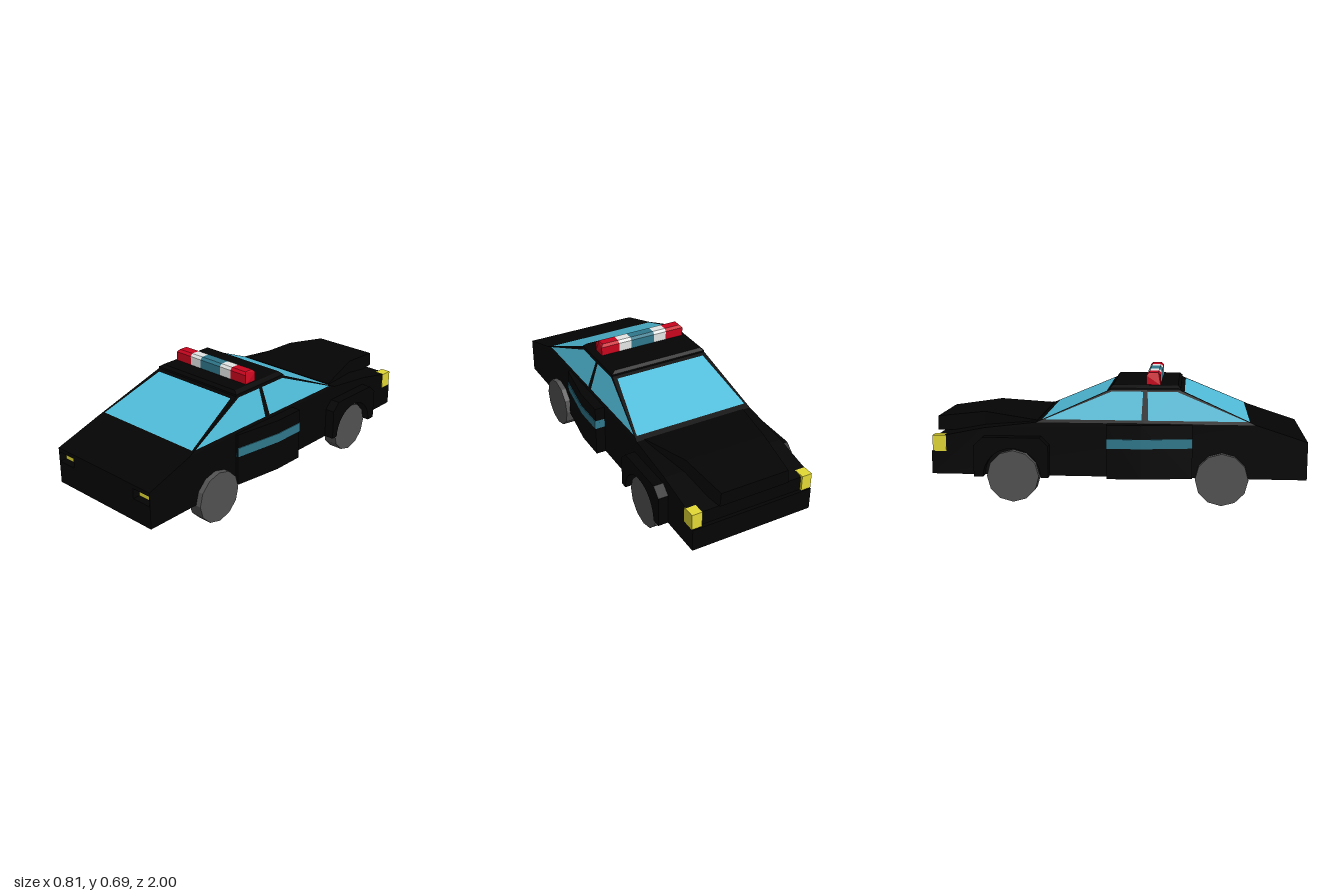
import * as THREE from 'three';

const mat = (name, color, side = THREE.FrontSide) => {
  const m = new THREE.MeshStandardMaterial({ color, side });
  m.name = name;
  return m;
};

export function createModel() {
  const car = new THREE.Group();
  car.name = 'patrolCar';
  const black = mat('black paint', 0x040404, THREE.DoubleSide);
  const glass = mat('window glass', 0x50bcd9, THREE.DoubleSide);
  const blue = mat('dark blue', 0x2f788c);
  const red = mat('red lamp', 0xc9051e);
  const white = mat('white lamp', 0xe4e6e5);
  const yellow = mat('yellow lamp', 0xe4da36);
  const rubber = mat('grey wheel', 0x535353);

  const add = (name, geometry, material, parent = car) => {
    const m = new THREE.Mesh(geometry, material);
    m.name = name;
    parent.add(m);
    return m;
  };
  // Flat-shaded geometry from a list of four-cornered faces
  const quads = (list) => {
    const p = [];
    for (const [a, b, c, d] of list) p.push(...a, ...b, ...c, ...a, ...c, ...d);
    const g = new THREE.BufferGeometry();
    g.setAttribute('position', new THREE.Float32BufferAttribute(p, 3));
    g.computeVertexNormals();
    return g;
  };
  const shape = (pts) => new THREE.Shape(pts.map(([a, b]) => new THREE.Vector2(a, b)));
  const box = (name, x0, x1, y0, y1, z0, z1, material) => {
    const g = new THREE.BoxGeometry(x1 - x0, y1 - y0, z1 - z0);
    g.translate((x0 + x1) / 2, (y0 + y1) / 2, (z0 + z1) / 2);
    return add(name, g, material);
  };
  // Side outline given as (-z, y), extruded from x0 to x1
  const sideExtrude = (s, x0, x1) => {
    const g = new THREE.ExtrudeGeometry(s, { depth: x1 - x0, bevelEnabled: false, curveSegments: 8 });
    return g.rotateY(Math.PI / 2).translate(x0, 0, 0);
  };
  // Plan outline given as (x, z), extruded from y0 to y1
  const planExtrude = (pts, y0, y1) => {
    const g = new THREE.ExtrudeGeometry(shape(pts), { depth: y1 - y0, bevelEnabled: false });
    return g.rotateX(Math.PI / 2).translate(0, y1, 0);
  };

  // Lower body: hollow shell, open below and under the cabin
  const W = 0.345, base = 0.141, noseTop = 0.342;
  const profile = [[1, base], [1, noseTop], [0.73, 0.43], [-0.43, 0.43], [-0.72, 0.395],
    [-0.98, 0.342], [-0.98, 0.265], [-1, 0.265], [-1, base]];
  const shell = [];
  for (let i = 1; i < profile.length - 1; i++) {
    if (i === 2) continue;
    const [z0, y0] = profile[i], [z1, y1] = profile[i + 1];
    shell.push([[-W, y0, z0], [W, y0, z0], [W, y1, z1], [-W, y1, z1]]);
  }
  add('bodyShell', quads(shell), black);
  for (const x of [-W, W]) {
    const g = new THREE.ShapeGeometry(shape(profile.map(([z, y]) => [-z, y])));
    add('bodySide', g.rotateY(Math.PI / 2).translate(x, 0, 0), black);
  }

  // Nose panel with a sunken pocket for each headlight
  const nose = shape([[-W, base], [W, base], [W, noseTop], [-W, noseTop]]);
  const pocketWalls = [], lampZ = 0.96;
  for (const s of [1, -1]) {
    const rim = [[0.226, 0.265], [0.341, 0.265], [0.341, 0.32], [0.226, 0.32]].map(([x, y]) => [s * x, y]);
    nose.holes.push(new THREE.Path(rim.map(([x, y]) => new THREE.Vector2(x, y))));
    rim.forEach(([x, y], i) => {
      const [u, v] = rim[(i + 1) % 4];
      pocketWalls.push([[x, y, 1], [u, v, 1], [u, v, lampZ], [x, y, lampZ]]);
    });
  }
  add('nosePanel', new THREE.ShapeGeometry(nose).translate(0, 0, 1), black);
  add('headlightPockets', quads(pocketWalls), black);

  // Boot lid: cross-sections [z, half width, bottom, top]
  const lidRings = [[-0.43, 0.3, 0.4, 0.434], [-0.73, 0.23, 0.36, 0.465], [-1, 0.193, 0.354, 0.43]]
    .map(([z, w, b, t]) => [[w + 0.005, b, z], [w, t, z], [-w, t, z], [-w - 0.005, b, z]]);
  const lid = [lidRings[0].slice().reverse(), lidRings[2]];
  for (let i = 0; i < 2; i++) {
    for (let j = 0; j < 4; j++) {
      const k = (j + 1) % 4;
      lid.push([lidRings[i][j], lidRings[i + 1][j], lidRings[i + 1][k], lidRings[i][k]]);
    }
  }
  add('bootLid', quads(lid), black);

  // Cabin: each face is a black frame around a pane
  const frames = [], panes = [];
  const framed = (outer, inner) => {
    for (let i = 0; i < 4; i++) {
      const k = (i + 1) % 4;
      frames.push([outer[i], outer[k], inner[k], inner[i]]);
    }
    panes.push(inner);
  };
  const yB = 0.43, yT = 0.6, xT = 0.287, zF = [0.73, 0.335], zR = [-0.43, -0.04];
  // Windscreen and rear window
  for (const [[zb, zt], d] of [[zF, 1], [zR, -1]]) {
    const at = (x, t) => [x, yB + (yT - yB) * t, zb + (zt - zb) * t];
    framed(
      [at(-W * d, 0), at(W * d, 0), at(xT * d, 1), at(-xT * d, 1)],
      [at(-0.328 * d, 0.08), at(0.328 * d, 0.08), at(0.266 * d, 0.95), at(-0.266 * d, 0.95)]);
  }
  // Side windows, two per side, split by the door pillar
  for (const s of [1, -1]) {
    const at = (z, y) => [s * (W + (xT - W) * (y - yB) / (yT - yB)), y, z];
    const order = (q) => (s > 0 ? q : q.slice().reverse());
    const pillar = 0.148;
    framed(
      order([at(zF[0], yB), at(pillar, yB), at(pillar, yT), at(zF[1], yT)]),
      order([at(0.685, 0.446), at(0.165, 0.446), at(0.16, 0.592), at(0.318, 0.592)]));
    framed(
      order([at(pillar, yB), at(zR[0], yB), at(zR[1], yT), at(pillar, yT)]),
      order([at(0.13, 0.446), at(-0.385, 0.446), at(-0.03, 0.592), at(0.136, 0.592)]));
  }
  add('cabinFrame', quads(frames), black);
  add('windows', quads(panes), glass);

  // Roof cap with bevelled rim
  const low = [[-xT, yT, zF[1]], [xT, yT, zF[1]], [xT, yT, zR[1]], [-xT, yT, zR[1]]];
  const high = [[-0.265, 0.625, 0.32], [0.265, 0.625, 0.32], [0.265, 0.625, -0.025], [-0.265, 0.625, -0.025]];
  const mid = low.map(([x, , z]) => [x, 0.61, z]);
  const roof = [high];
  for (let i = 0; i < 4; i++) {
    const k = (i + 1) % 4;
    roof.push([low[i], low[k], mid[k], mid[i]], [mid[i], mid[k], high[k], high[i]]);
  }
  add('roof', quads(roof), black);

  // Light bar: bevelled segments, the outer ones also bevelled at their ends
  const bar = new THREE.Group();
  bar.name = 'lightBar';
  car.add(bar);
  const section = shape([[-0.227, 0.622], [-0.152, 0.622], [-0.152, 0.674], [-0.165, 0.688],
    [-0.214, 0.688], [-0.227, 0.674]]);
  const segments = [[-0.255, -0.147, red], [-0.147, -0.072, white], [-0.072, 0.072, blue],
    [0.072, 0.147, white], [0.147, 0.255, red]];
  for (const [x0, x1, m] of segments) {
    const g = sideExtrude(section, x0, x1), p = g.attributes.position;
    for (let i = 0; i < p.count; i++) {
      const x = p.getX(i);
      if (Math.abs(x) > 0.25 && p.getY(i) > 0.68) p.setX(i, Math.sign(x) * 0.242);
    }
    g.computeVertexNormals();
    add('lightBarSegment', g, m, bar);
  }

  // Parts that repeat on both sides
  for (const s of [1, -1]) {
    const span = (a, b) => (s > 0 ? [a, b] : [-b, -a]);

    // Wheels
    for (const z of [0.555, -0.555]) {
      const g = new THREE.CylinderGeometry(0.14, 0.14, 0.08, 12).toNonIndexed();
      g.computeVertexNormals();
      g.rotateZ(Math.PI / 2).translate(s * 0.335, 0.14, z);
      add('wheel', g, rubber);
    }

    // Rear wheel arch
    const r = 0.155, c = 0.555;
    const arch = shape([[0.36, base], [0.36, 0.31], [0.405, 0.355], [0.71, 0.355], [0.76, 0.31],
      [0.76, base], [c + r, base]]);
    arch.absarc(c, base, r, 0, Math.PI, false);
    add('rearWheelArch', sideExtrude(arch, ...span(0.335, 0.4)), black);

    // Door panel and its stripe
    const plan = (o) => [[0.34, 0.4], [0.36 + o, 0.4], [0.4 + o, 0.13], [0.4 + o, -0.05], [0.34, -0.05]]
      .map(([x, z]) => [s * x, z]);
    add('doorPanel', planExtrude(plan(0), base, 0.43), black);
    add('doorStripe', planExtrude(plan(0.004), 0.305, 0.355), blue);

    // Headlight and tail light
    box('headlight', ...span(0.226, 0.341), 0.265, 0.32, lampZ - 0.006, lampZ, yellow);
    box('tailLight', ...span(0.29, 0.347), 0.266, 0.352, -0.993, -0.92, yellow);
  }
  return car;
}
